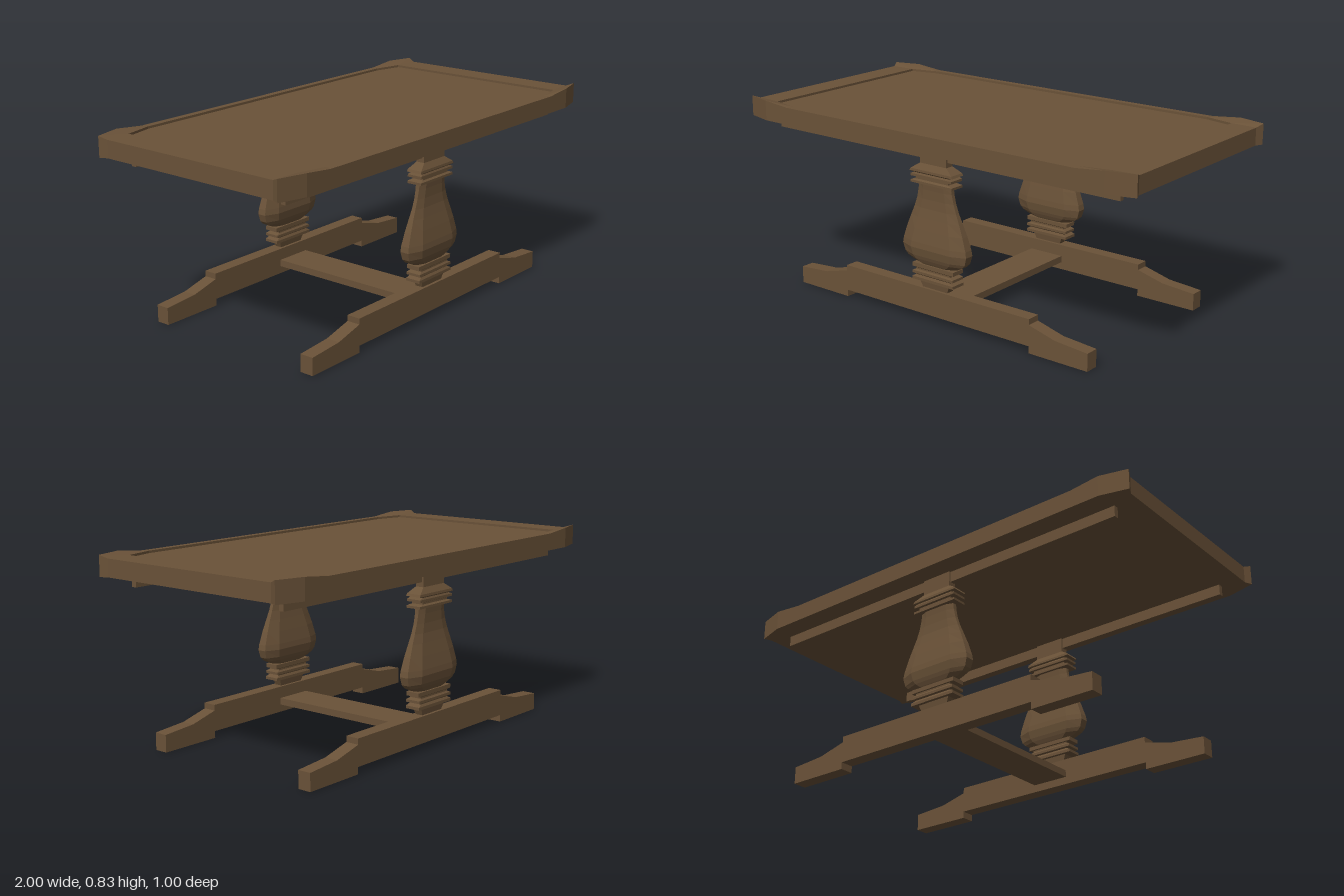
import * as THREE from 'three';

const wood = new THREE.MeshStandardMaterial({ color: 0x6a5238, flatShading: true, roughness: 0.8 });

function add(parent, name, geometry) {
  const mesh = new THREE.Mesh(geometry, wood);
  mesh.name = name;
  parent.add(mesh);
  return mesh;
}

// Mirror one quadrant of [x, y, z] corners (running from +x round to +z) into a closed ring.
function ring(quadrant) {
  const back = [...quadrant].reverse();
  const flip = (list, sx, sz) => list.map(([x, y, z]) => new THREE.Vector3(x * sx, y, z * sz));
  return [...flip(quadrant, 1, 1), ...flip(back, -1, 1), ...flip(quadrant, -1, -1), ...flip(back, 1, -1)];
}

// Skin a stack of rings and close both ends.
function loft(rings) {
  const points = [];
  const n = rings[0].length;
  for (let k = 0; k < rings.length - 1; k++) {
    for (let i = 0; i < n; i++) {
      const j = (i + 1) % n;
      const a = rings[k][i], b = rings[k][j], c = rings[k + 1][j], d = rings[k + 1][i];
      if (!d.equals(c)) points.push(a, d, c);
      if (!a.equals(b)) points.push(a, c, b);
    }
  }
  const cap = (r, up) => {
    const centre = new THREE.Vector3(0, r[0].y, 0);
    for (let i = 0; i < n; i++) {
      const j = (i + 1) % n;
      if (r[i].equals(r[j])) continue;
      points.push(centre, up ? r[j] : r[i], up ? r[i] : r[j]);
    }
  };
  cap(rings[0], false);
  cap(rings[rings.length - 1], true);
  const geometry = new THREE.BufferGeometry().setFromPoints(points);
  geometry.computeVertexNormals();
  return geometry;
}

// Rectangular mouldings: rows of [y, half width, half depth].
const block = rows => loft(rows.map(([y, w, d]) => ring([[w, y, d]])));

// Chamfered sections for the swelling baluster.
const chamfered = rows => loft(rows.map(([y, w, d]) => ring([[w, y, d * 0.45], [w * 0.62, y, d]])));

function tabletop() {
  // Rim rises and flares towards the four corners, around a sunken panel.
  const outer = [[0.985, 0.822, 0.435], [1, 0.835, 0.468], [0.88, 0.835, 0.5], [0.75, 0.822, 0.5]];
  const inner = [[0.87, 0.822, 0.44], [0.87, 0.822, 0.44], [0.74, 0.822, 0.47], [0.74, 0.822, 0.47]];
  const atHeight = (list, y) => list.map(([x, , z]) => [x, y, z]);
  return loft([ring(atHeight(outer, 0.747)), ring(outer), ring(inner), ring(atHeight(inner, 0.812))]);
}

function footGeometry() {
  const half = [[0.495, 0.03], [0.495, 0], [0.775, 0], [0.775, 0.075], [0.62, 0.087], [0.495, 0.12], [0.495, 0.145]];
  const outline = [...half, ...[...half].reverse().map(([x, y]) => [-x, y])];
  const shape = new THREE.Shape(outline.map(([x, y]) => new THREE.Vector2(x, y)));
  return new THREE.ExtrudeGeometry(shape, { depth: 0.06, bevelEnabled: false }).translate(0, 0, -0.03);
}

function trestle() {
  const group = new THREE.Group();
  add(group, 'foot', footGeometry());
  add(group, 'lowerMoulding', block([
    [0.143, 0.065, 0.017], [0.175, 0.078, 0.022], [0.176, 0.11, 0.034], [0.188, 0.11, 0.034],
    [0.198, 0.09, 0.028], [0.203, 0.108, 0.034], [0.214, 0.108, 0.034], [0.221, 0.09, 0.028],
    [0.228, 0.09, 0.028], [0.231, 0.11, 0.031], [0.248, 0.11, 0.031],
  ]));
  add(group, 'baluster', chamfered([
    [0.246, 0.08, 0.022], [0.255, 0.115, 0.027], [0.27, 0.145, 0.034], [0.285, 0.16, 0.039],
    [0.32, 0.17, 0.045], [0.345, 0.166, 0.043], [0.4, 0.148, 0.035], [0.45, 0.128, 0.026],
    [0.49, 0.111, 0.02], [0.53, 0.097, 0.018], [0.57, 0.088, 0.019], [0.598, 0.085, 0.021],
  ]));
  add(group, 'upperMoulding', block([
    [0.596, 0.11, 0.034], [0.606, 0.11, 0.034], [0.612, 0.085, 0.026], [0.62, 0.085, 0.026],
    [0.623, 0.108, 0.034], [0.633, 0.108, 0.034], [0.64, 0.09, 0.03], [0.645, 0.113, 0.035],
    [0.655, 0.108, 0.034], [0.68, 0.07, 0.019], [0.75, 0.07, 0.019],
  ]));
  const rail = add(group, 'topRail', new THREE.BoxGeometry(1.78, 0.05, 0.022));
  rail.position.y = 0.725;
  return group;
}

export function createModel() {
  const model = new THREE.Group();
  model.name = 'trestleTable';
  add(model, 'tabletop', tabletop());

  // Matching trestles under the front and back edges
  for (const side of [1, -1]) {
    const support = trestle();
    support.name = side > 0 ? 'frontTrestle' : 'backTrestle';
    support.position.z = side * 0.395;
    if (side < 0) support.rotation.y = Math.PI;
    model.add(support);
  }

  // Flat board joining the feet
  const stretcher = add(model, 'stretcher', new THREE.BoxGeometry(0.17, 0.03, 0.74));
  stretcher.position.y = 0.078;
  return model;
}
